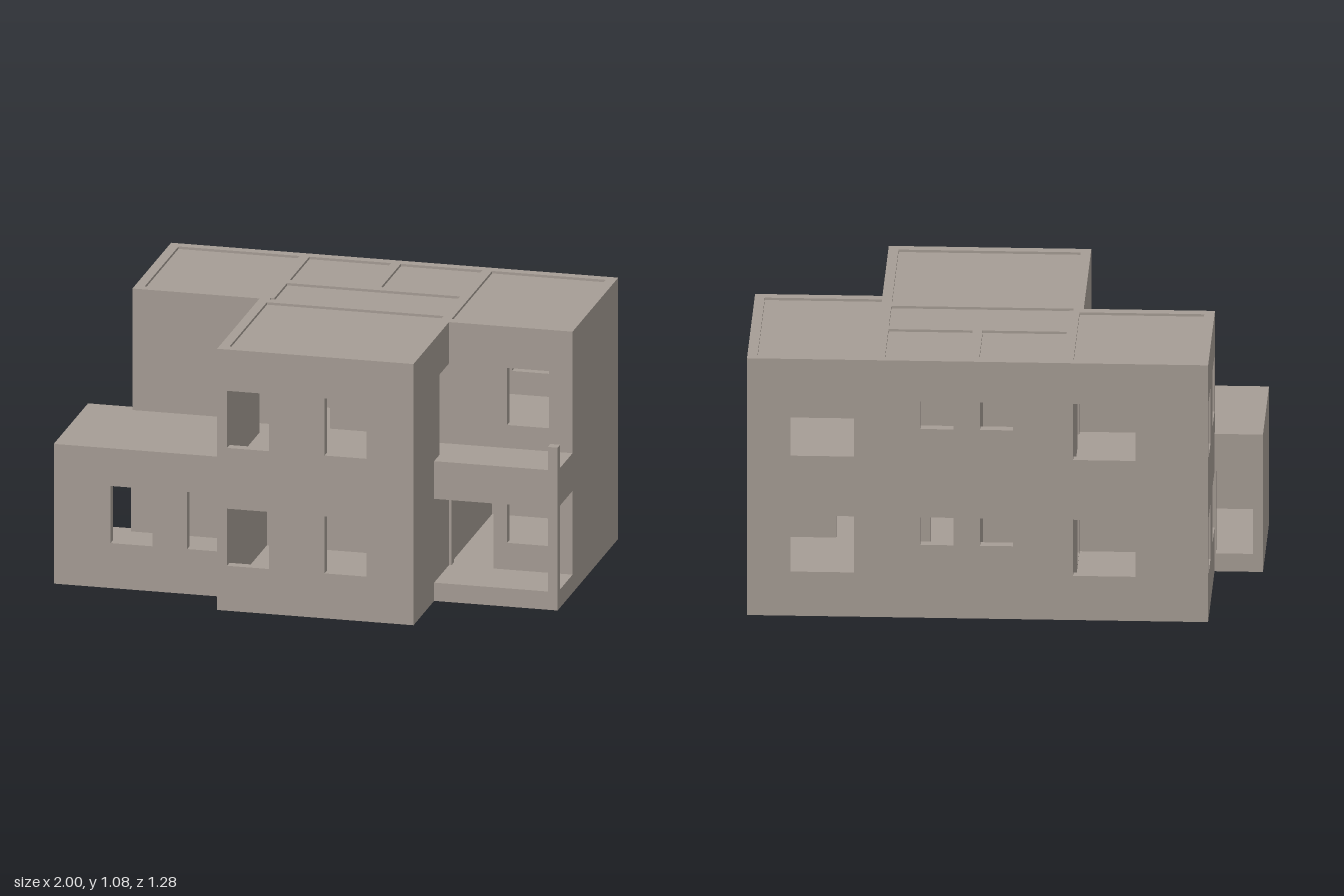
import * as THREE from 'three';

const T = 0.04;                    // wall thickness
const TOP = 1.075, FLOOR = 0.075, UPPER = 0.575;
const LOW = [0.185, 0.42], HIGH = [0.67, 0.905];

export function createModel() {
  const house = new THREE.Group();
  house.name = 'house';
  const plaster = new THREE.MeshStandardMaterial({ color: 0xa69d95 });
  plaster.name = 'warm grey plaster';

  const add = (name, geometry) => {
    const mesh = new THREE.Mesh(geometry, plaster);
    mesh.name = name;
    house.add(mesh);
  };

  const box = (name, x0, x1, y0, y1, z0, z1) => {
    const g = new THREE.BoxGeometry(x1 - x0, y1 - y0, z1 - z0);
    add(name, g.translate((x0 + x1) / 2, (y0 + y1) / 2, (z0 + z1) / 2));
  };

  // Upright wall along x or z; p is its lower face, holes are [u0, u1, y0, y1]
  const wall = (name, axis, u0, u1, p, y0, y1, holes = []) => {
    const rect = (Type, a, b, c, d) => {
      const s = new Type();
      s.moveTo(a, c); s.lineTo(b, c); s.lineTo(b, d); s.lineTo(a, d); s.closePath();
      return s;
    };
    const shape = rect(THREE.Shape, u0, u1, y0, y1);
    shape.holes = holes.map(([a, b, c, d]) => rect(THREE.Path, a, b, c, d));
    const g = new THREE.ExtrudeGeometry(shape, { depth: T, bevelEnabled: false });
    if (axis === 'z') g.rotateY(-Math.PI / 2).translate(p + T, 0, 0);
    else g.translate(0, 0, p);
    add(name, g);
  };

  // The same window on both storeys
  const both = (a, b, drop = 0) => [LOW, HIGH].map(([c, d]) => [a, b, c + drop, d]);

  // Outer walls of the main house
  wall('backWall', 'x', -0.81, 1, -0.64, 0, TOP, [
    ...both(0.58, 0.83), ...both(0.19, 0.32, 0.12), ...both(-0.045, 0.085, 0.12), ...both(-0.525, -0.28),
  ]);
  wall('leftWall', 'z', -0.64, 0.08, 1 - T, 0, TOP);
  wall('rightWall', 'z', -0.64, -0.03, -0.81, 0, TOP, [...both(-0.6, -0.43), ...both(-0.255, -0.075)]);
  wall('rightFrontWall', 'x', -0.81, -0.255, -0.03 - T, 0, TOP);
  wall('leftFrontWall', 'x', 0.46, 1, 0.08 - T, 0, TOP, [
    ...both(0.735, 0.905), [0.51, 0.68, FLOOR, 0.42],
  ]);
  wall('middleFrontWall', 'x', -0.295, 0.5, 0.64 - T, 0, TOP, [...both(-0.255, -0.085), ...both(0.14, 0.31)]);
  wall('middleLeftWall', 'z', 0.04, 0.64, 0.5 - T, 0, TOP, [[0.081, 0.23, UPPER, 0.905]]);
  wall('middleRightWall', 'z', -0.07, 0.64, -0.295, 0, TOP, [[0.01, 0.13, UPPER, 0.905]]);

  // Inner partitions
  wall('leftPartition', 'z', -0.62, 0.06, 0.46, FLOOR, TOP);
  wall('rightPartition', 'z', -0.62, -0.05, -0.28, FLOOR, TOP, [[-0.24, -0.1, UPPER, 0.905], [-0.24, -0.1, 0.08, 0.42]]);
  wall('hallFrontPartition', 'x', -0.27, 0.48, -0.03, FLOOR, TOP, [[0.16, 0.31, 0.08, 0.42], [-0.15, 0, UPPER, 0.905]]);
  wall('hallBackPartition', 'x', -0.27, 0.48, -0.29, FLOOR, TOP, [[0.2, 0.295, 0.08, 0.36]]);
  wall('smallRoomPartition', 'z', -0.62, -0.27, 0.09, FLOOR, TOP);

  // Floors and slightly sunken roof panels, one set for each part of the plan
  const plan = [[-0.79, 0.98, -0.62, -0.05], [0.47, 0.98, -0.1, 0.06], [-0.275, 0.48, -0.1, 0.62]];
  for (const [x0, x1, z0, z1] of plan) {
    box('groundFloor', x0, x1, FLOOR - 0.015, FLOOR, z0, z1);
    box('upperFloor', x0, x1, UPPER - 0.02, UPPER, z0, z1);
    box('roofPanel', x0, x1, TOP - 0.03, TOP - 0.01, z0, z1);
  }

  // Single-storey annex with a flat roof
  const annexTop = UPPER - 0.02;
  wall('annexFrontWall', 'x', -1, -0.28, 0.47 - T, 0, annexTop, [[-0.77, -0.6, ...LOW], [-0.46, -0.297, ...LOW]]);
  wall('annexSideWall', 'z', -0.07, 0.47, -1, 0, annexTop);
  wall('annexBackWall', 'x', -1, -0.79, -0.07, 0, annexTop, [[-0.96, -0.815, FLOOR, 0.42]]);
  box('annexFloor', -0.98, -0.28, FLOOR - 0.015, FLOOR, -0.05, 0.45);
  box('annexRoof', -1, -0.285, annexTop, UPPER, -0.07, 0.47);

  // Porch with a balcony above and a corner post
  box('porchFloor', 0.49, 0.99, FLOOR - 0.015, FLOOR, 0.07, 0.3);
  box('porchFrontBase', 0.49, 1, 0, FLOOR, 0.315 - T, 0.315);
  box('porchSideBase', 1 - T, 1, 0, FLOOR, 0.07, 0.315);
  box('balcony', 0.49, 1, 0.42, UPPER, 0.07, 0.315);
  box('cornerPost', 1 - T, 1, 0, 0.67, 0.315 - T, 0.315);

  return house;
}
